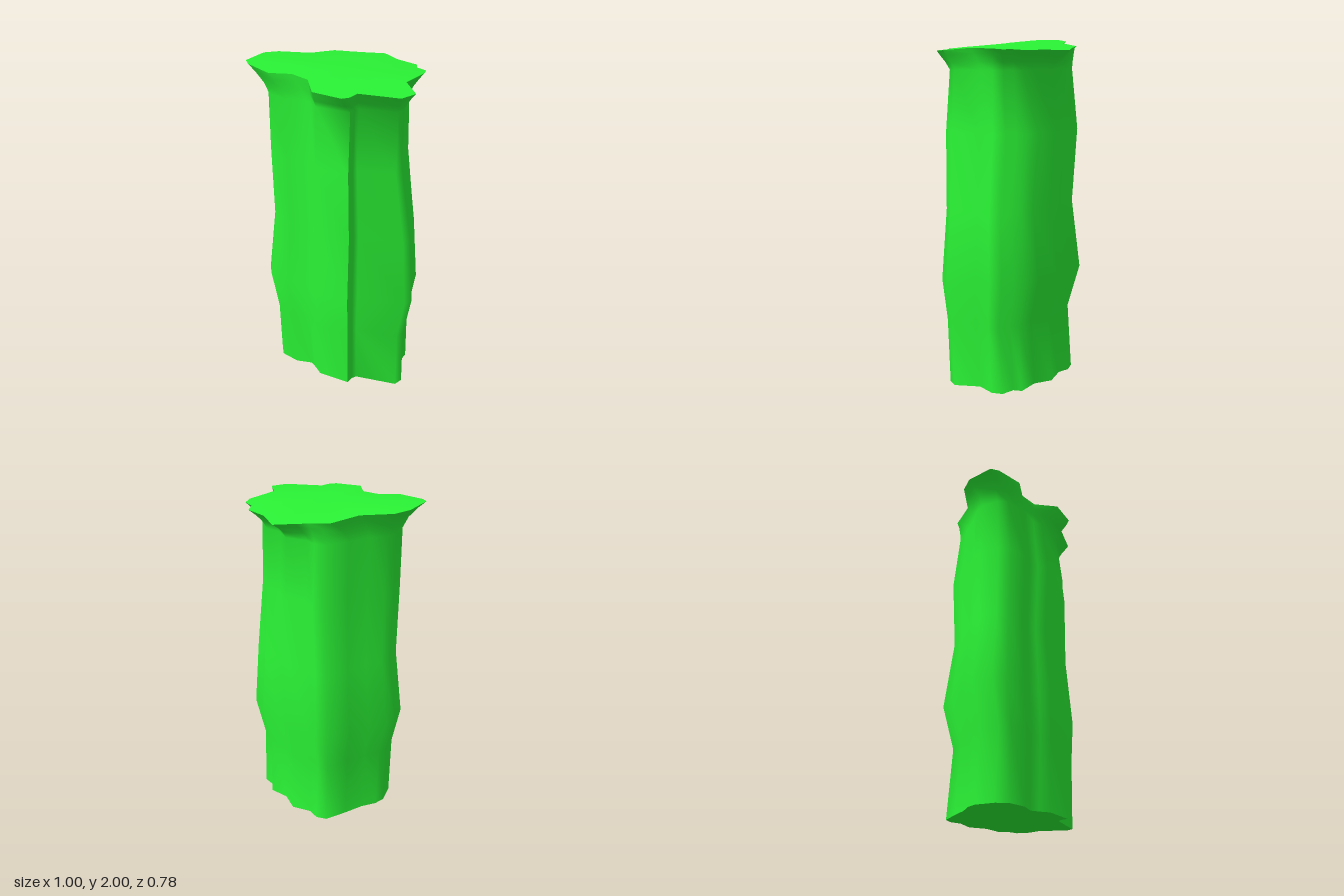
import * as THREE from 'three';
import { toCreasedNormals } from 'three/addons/utils/BufferGeometryUtils.js';

// Outline of the trunk at its widest, [x, z], running left, back, right, front
const trunk = [
  [-0.43, 0.08], [-0.425, -0.04], [-0.385, -0.10], [-0.30, -0.165], [-0.21, -0.265], [-0.105, -0.37],
  [-0.035, -0.375], [0.03, -0.335], [0.16, -0.335], [0.25, -0.25], [0.375, -0.22], [0.39, -0.165],
  [0.465, -0.125], [0.48, -0.055], [0.44, 0.05], [0.495, 0.21], [0.46, 0.26], [0.175, 0.255],
  [0.15, 0.28], [0.13, 0.325], [-0.08, 0.285], [-0.125, 0.235], [-0.17, 0.195], [-0.28, 0.20],
  [-0.40, 0.15],
];
// Matching outline of the flared rim
const rim = [
  [-0.50, 0.08], [-0.455, -0.08], [-0.39, -0.145], [-0.22, -0.195], [-0.11, -0.32], [-0.06, -0.33],
  [0, -0.342], [0.06, -0.357], [0.175, -0.39], [0.27, -0.285], [0.385, -0.225], [0.395, -0.165],
  [0.45, -0.125], [0.45, -0.07], [0.38, 0.10], [0.45, 0.225], [0.39, 0.30], [0.17, 0.31],
  [0.145, 0.365], [0.11, 0.39], [-0.05, 0.36], [-0.11, 0.225], [-0.21, 0.18], [-0.33, 0.205],
  [-0.47, 0.125],
];
// Extents of each trunk section: y, xMin, xMax, zMin, zMax
const sections = [
  [0, -0.38, 0.46, -0.34, 0.30],
  [0.40, -0.38, 0.455, -0.31, 0.31],
  [0.66, -0.43, 0.495, -0.375, 0.325],
  [1.07, -0.38, 0.46, -0.325, 0.295],
  [1.50, -0.38, 0.40, -0.35, 0.325],
  [1.84, -0.38, 0.39, -0.31, 0.29],
];
const GROOVE_X = 0.13; // the front groove runs straight up at this x

// Trunk outline fitted to a section's extents, keeping the groove in place
function sectionRing([y, x0, x1, z0, z1]) {
  return trunk.map(([x, z]) => {
    const side = x < GROOVE_X ? (x0 - GROOVE_X) / (-0.43 - GROOVE_X) : (x1 - GROOVE_X) / (0.495 - GROOVE_X);
    return [GROOVE_X + (x - GROOVE_X) * side, y, z0 + (z1 - z0) * (z + 0.375) / 0.70];
  });
}

// Closed loft through the rings, with a fan cap at each end
function loft(rings, bottom, top) {
  const n = rings[0].length, index = [];
  const points = [...rings.flat(), bottom, top];
  const b = points.length - 2, t = points.length - 1, last = (rings.length - 1) * n;
  for (let i = 0; i < n; i++) {
    const j = (i + 1) % n;
    for (let k = 0; k < last; k += n) {
      index.push(k + i, k + n + i, k + n + j, k + i, k + n + j, k + j);
    }
    index.push(b, i, j, t, last + j, last + i);
  }
  const geometry = new THREE.BufferGeometry();
  geometry.setAttribute('position', new THREE.Float32BufferAttribute(points.flat(), 3));
  geometry.setIndex(index);
  return toCreasedNormals(geometry, 1.2);
}

export function createModel() {
  const group = new THREE.Group();
  group.name = 'flaredColumn';

  const rings = sections.map(sectionRing);
  // Flare: sweep outward from the neck to the sloping rim, fuller under the front lip
  const neck = rings[rings.length - 1];
  const rimRing = rim.map(([x, z]) => [x, 1.98 - 0.045 * x - 0.07 * Math.abs(z), z]);
  for (const [sweep, rise] of [[0.25, 0.4], [0.65, 0.75]]) {
    rings.push(neck.map(([x, y, z], i) => {
      const [rx, ry, rz] = rimRing[i];
      const out = sweep + 0.9 * Math.max(0, rz - 0.2);
      return [x + (rx - x) * out, y + (ry - y) * rise, z + (rz - z) * out];
    }));
  }
  rings.push(rimRing);

  const column = new THREE.Mesh(
    loft(rings, [0.04, 0, 0], [0.02, 1.98, 0]),
    new THREE.MeshStandardMaterial({ color: 0x2af335 })
  );
  column.name = 'column';
  group.add(column);
  return group;
}
